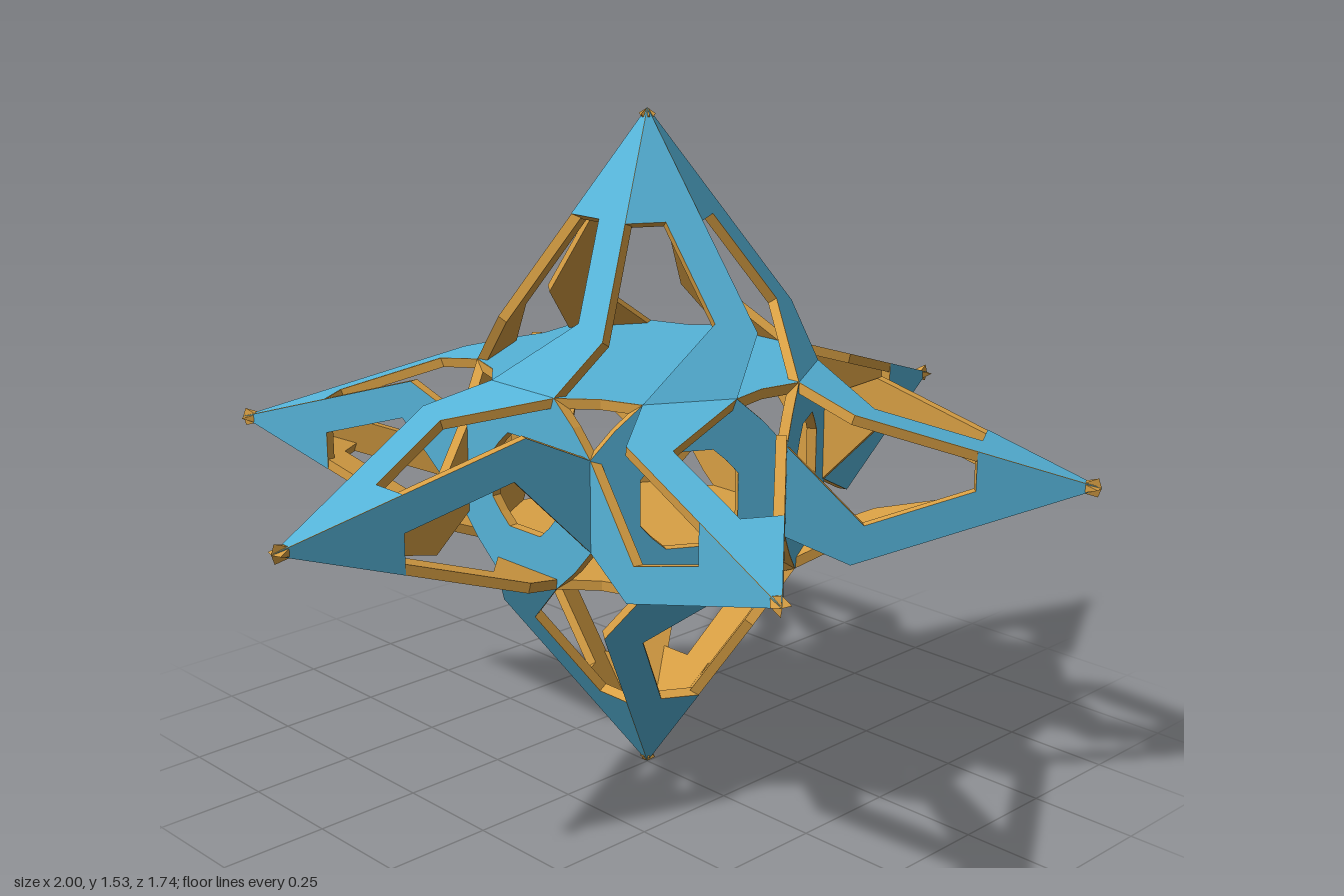
import * as THREE from 'three';

const CENTRE_Y = 0.765;
const HALF = 0.21;        // half the length of every core edge
const LINK = 0.1;         // half the width of a link across a core edge
const STRIP = 0.08;       // width of the strip along each ridge
const THICK = 0.022;

const blue = new THREE.MeshStandardMaterial({ color: 0x56b4d9 });
const orange = new THREE.MeshStandardMaterial({ color: 0xd9a044 });

// Flat panel: coloured skin outside (+z), contrasting rim and inner side
function makePanel(shape, name) {
  const panel = new THREE.Group();
  panel.name = name;
  const body = new THREE.Mesh(
    new THREE.ExtrudeGeometry(shape, { depth: THICK, bevelEnabled: false }), orange);
  body.position.z = -THICK;
  body.name = name + 'Inside';
  const skin = new THREE.Mesh(new THREE.ShapeGeometry(shape), blue);
  skin.position.z = 0.001;
  skin.name = name + 'Skin';
  panel.add(body, skin);
  return panel;
}

// Triangular side: solid tip, a strip down one ridge, then a bend to the base
function sideShape(slant) {
  const at = (s, t) => new THREE.Vector2(s, slant * (1 - t));
  return new THREE.Shape([
    at(0, 0),
    at(-HALF * 0.4, 0.4),
    at(HALF * 0.4 - STRIP, 0.4),
    at(HALF * 0.75 - STRIP, 0.75),
    at(-LINK, 1),
    at(LINK, 1),
    at(HALF * 0.79, 0.79),
  ]);
}

// Outline of a core face with notched corners; first edge at the bottom
function coreOutline(sides, apothem, scale = 1) {
  const notch = Math.hypot(apothem, HALF) - 0.073;
  const points = [];
  const origin = new THREE.Vector2();
  for (let i = 0; i < sides; i++) {
    const turn = (i * 2 * Math.PI) / sides;
    const corner = turn - Math.PI / 2 + Math.PI / sides;
    points.push(
      new THREE.Vector2(-LINK, -apothem).rotateAround(origin, turn),
      new THREE.Vector2(LINK, -apothem).rotateAround(origin, turn),
      new THREE.Vector2(Math.cos(corner) * notch, Math.sin(corner) * notch));
  }
  return points.map((p) => p.multiplyScalar(scale));
}

// Spike along +z, with the core face that lies beneath it
function makeSpike(name, sides, apothem, baseZ, tipZ, openCore) {
  const spike = new THREE.Group();
  spike.name = name;
  const ring = new THREE.Group();
  ring.name = name + 'Frame';
  if (sides === 6) ring.rotation.z = Math.PI / 6;
  spike.add(ring);

  const rise = tipZ - baseZ;
  const shape = sideShape(Math.hypot(rise, apothem));
  for (let i = 0; i < sides; i++) {
    const turn = new THREE.Group();
    turn.name = 'spikeSide' + (i + 1);
    turn.rotation.z = (i * 2 * Math.PI) / sides;
    const panel = makePanel(shape, 'ridgeStrip');
    panel.position.set(0, -apothem, baseZ);
    panel.rotation.x = Math.atan2(rise, apothem);
    turn.add(panel);
    ring.add(turn);
  }

  const core = new THREE.Shape(coreOutline(sides, apothem));
  if (openCore) core.holes.push(new THREE.Path(coreOutline(sides, apothem, 0.5)));
  const plate = makePanel(core, 'corePlate');
  plate.position.z = baseZ;
  ring.add(plate);
  return spike;
}

export function createModel() {
  const model = new THREE.Group();
  model.name = 'hollowStar';
  const star = new THREE.Group();
  star.name = 'star';
  star.position.y = CENTRE_Y;
  model.add(star);

  const coreRadius = HALF * Math.sqrt(3);

  // Six spikes around the middle
  for (let i = 0; i < 6; i++) {
    const spike = makeSpike('sideSpike' + (i + 1), 4, HALF, coreRadius, 1, true);
    spike.rotation.y = Math.PI / 2 + (i * Math.PI) / 3;
    star.add(spike);
  }

  // Upper and lower spikes
  for (const [name, dir] of [['topSpike', 1], ['bottomSpike', -1]]) {
    const spike = makeSpike(name, 6, coreRadius, HALF, CENTRE_Y, false);
    spike.rotation.x = (-dir * Math.PI) / 2;
    star.add(spike);
  }
  return model;
}
